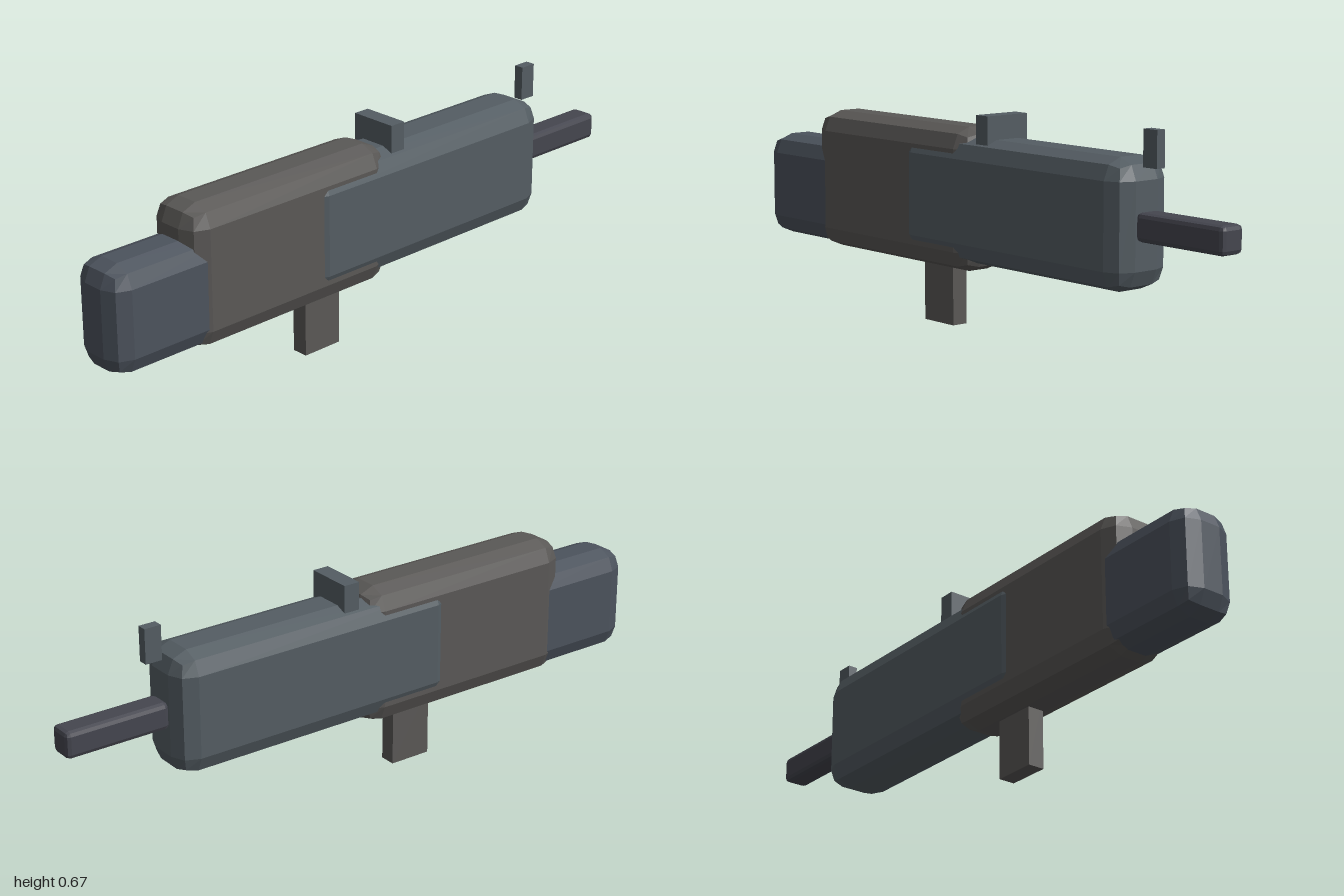
import * as THREE from 'three';
import { RoundedBoxGeometry } from 'three/addons/geometries/RoundedBoxGeometry.js';

const material = (color) => new THREE.MeshStandardMaterial({ color, flatShading: true });

export function createModel() {
  const group = new THREE.Group();
  const steel = material(0x545d63);
  const brown = material(0x5a5856);
  const blueGrey = material(0x4c535d);
  const dark = material(0x45464f);

  // Box spanning y0..y1 and z0..z1, centred on x; a radius gives chamfered edges
  function block(name, mat, halfWidth, y0, y1, z0, z1, radius = 0) {
    const size = [halfWidth * 2, y1 - y0, z1 - z0];
    const geometry = radius
      ? new RoundedBoxGeometry(...size, 1, radius)
      : new THREE.BoxGeometry(...size);
    const mesh = new THREE.Mesh(geometry, mat);
    mesh.name = name;
    mesh.position.set(0, (y0 + y1) / 2, (z0 + z1) / 2);
    group.add(mesh);
  }

  // Overlapping main bodies
  block('frontBlock', blueGrey, 0.093, 0.19, 0.515, 0.5, 1.0, 0.06);
  block('middleBody', brown, 0.097, 0.18, 0.612, -0.025, 0.73, 0.062);
  block('rearBody', steel, 0.103, 0.21, 0.585, -0.675, 0.293, 0.062);

  // Rear rod
  block('rearRod', dark, 0.04, 0.356, 0.438, -1.0, -0.672, 0.014);

  // Upright plates on top and the post below
  block('topPlate', steel, 0.076, 0.57, 0.656, -0.095, -0.043);
  block('rearPost', steel, 0.015, 0.56, 0.666, -0.728, -0.675);
  block('lowerPost', brown, 0.026, 0, 0.22, 0.123, 0.258);

  return group;
}
